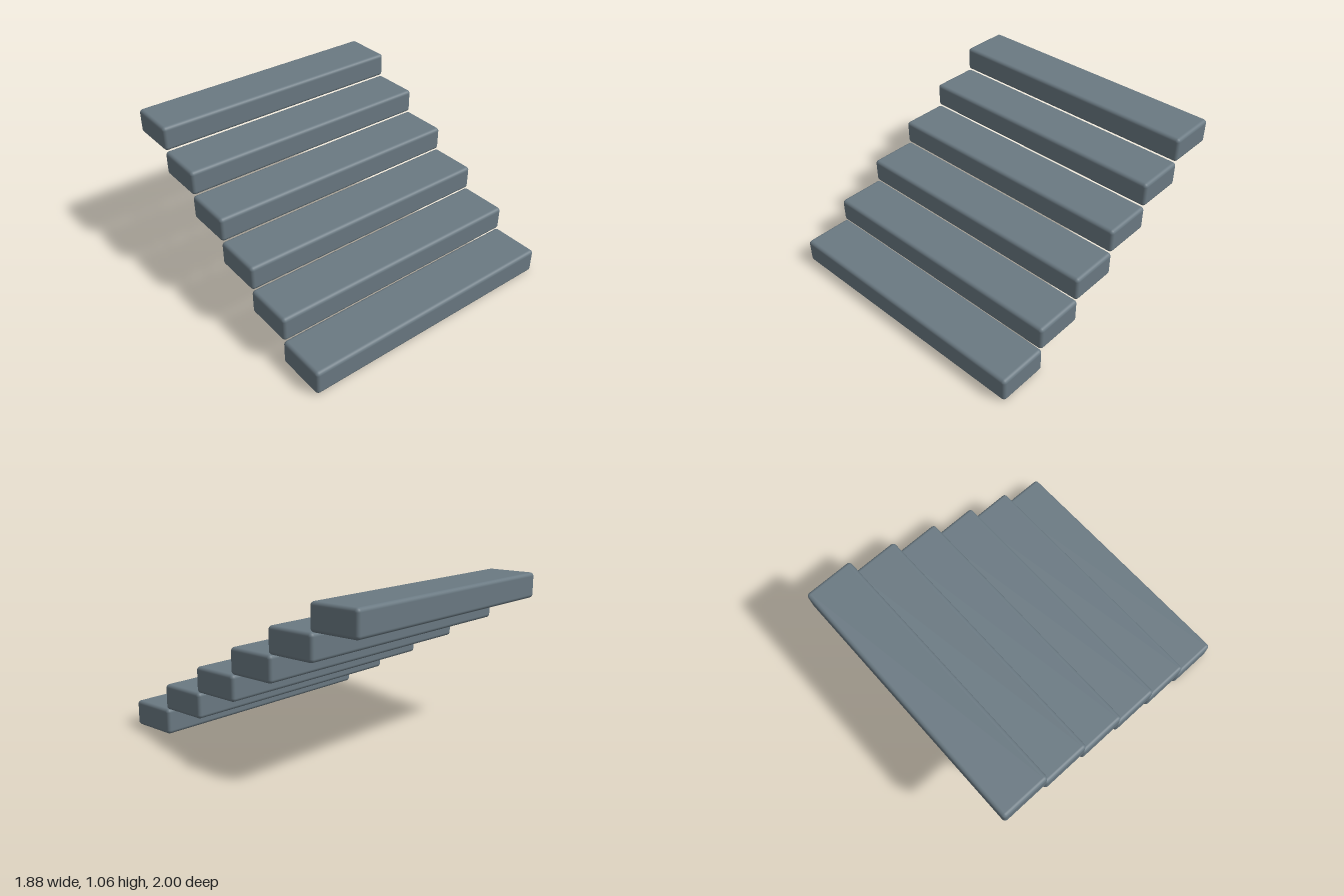
import * as THREE from 'three';
import { RoundedBoxGeometry } from 'three/addons/geometries/RoundedBoxGeometry.js';

const STEPS = 6;
const WIDTH = 1.88, HEIGHT = 0.174, DEPTH = 0.35, RADIUS = 0.025;
const RISE = 0.177, RUN = 0.33;

export function createModel() {
  const group = new THREE.Group();
  group.name = 'stairs';

  const slate = new THREE.MeshStandardMaterial({ color: 0x6a7982 });
  slate.name = 'slate grey';

  // One rounded slab, repeated up and back from the front
  const slab = new RoundedBoxGeometry(WIDTH, HEIGHT, DEPTH, 4, RADIUS);
  for (let i = 0; i < STEPS; i++) {
    const step = new THREE.Mesh(slab, slate);
    step.name = `step${i + 1}`;
    step.position.set(0, HEIGHT / 2 + i * RISE, 1 - DEPTH / 2 - i * RUN);
    group.add(step);
  }
  return group;
}
